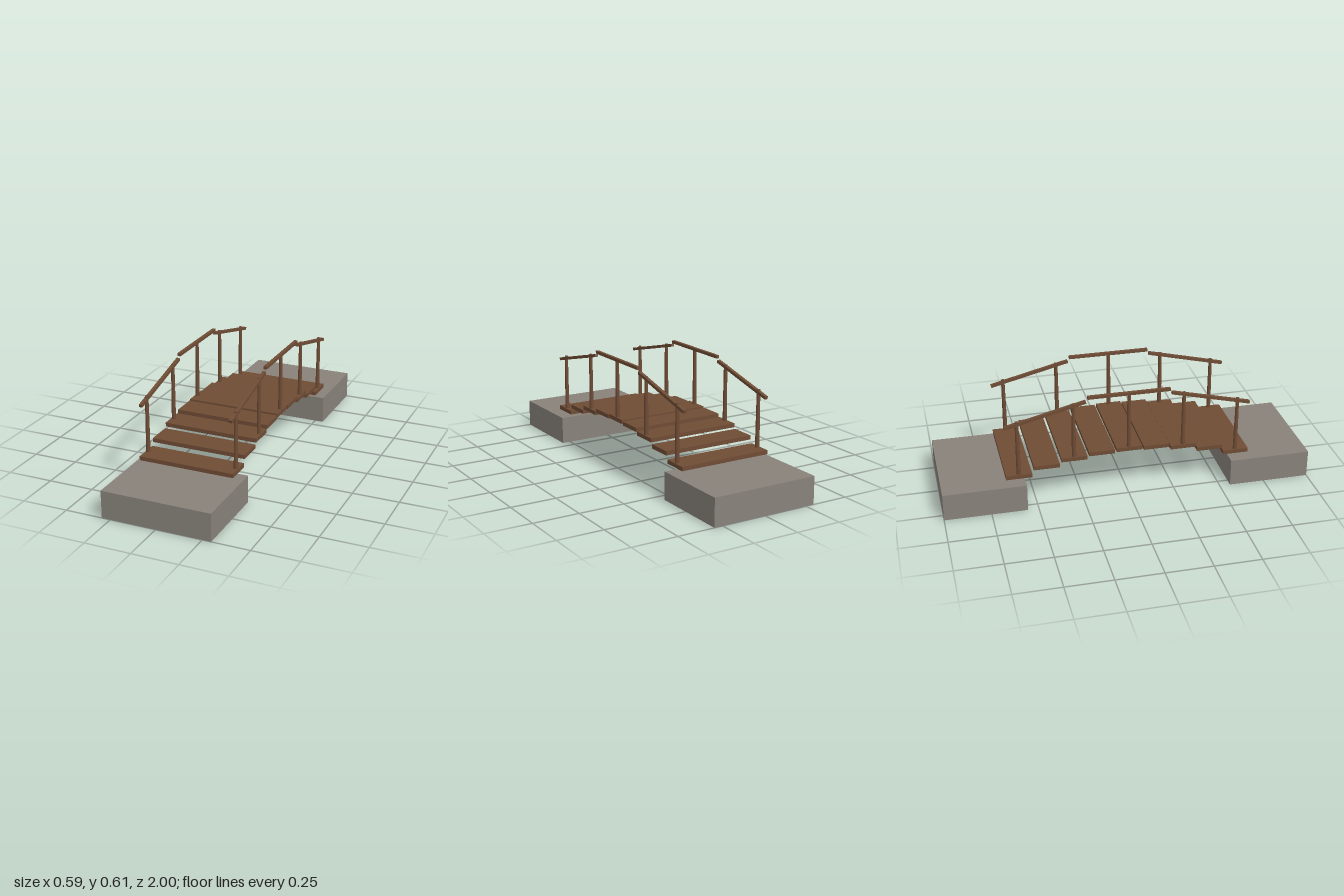
import * as THREE from 'three';

const wood = new THREE.MeshStandardMaterial({ color: 0x6f4c35 });
wood.name = 'brown wood';
const stone = new THREE.MeshStandardMaterial({ color: 0x88827a });
stone.name = 'grey stone';

const SPACING = 0.148;   // distance between plank centres
const RAIL_X = 0.246;    // sideways position of posts and rails

// Height of the arched deck at plank index i (0 is the middle)
const deckY = (i) => 0.278 - 0.00575 * i * i;

export function createModel() {
  const bridge = new THREE.Group();
  bridge.name = 'footbridge';

  const add = (name, geometry, material, x, y, z, tilt = 0) => {
    const mesh = new THREE.Mesh(geometry, material);
    mesh.name = name;
    mesh.position.set(x, y, z);
    mesh.rotation.x = tilt;
    bridge.add(mesh);
  };

  // Stone footings at both ends
  const footing = new THREE.BoxGeometry(0.594, 0.15, 0.442);
  for (const s of [-1, 1]) add('footing', footing, stone, 0, 0.075, s * 0.779);

  // Deck planks, stepping along the arch
  const plank = new THREE.BoxGeometry(0.52, 0.022, 0.139);
  for (let i = -4; i <= 4; i++) add('plank', plank, wood, 0, deckY(i), i * SPACING);

  // Railings on both sides
  const post = new THREE.CylinderGeometry(0.0095, 0.012, 0.32, 8);
  const rail = new THREE.BoxGeometry(0.018, 0.016, 0.442);
  for (const side of [-1, 1]) {
    const x = side * RAIL_X;
    for (let i = -4; i <= 4; i += 2) add('post', post, wood, x, deckY(i) + 0.16, i * SPACING);
    add('middleRail', rail, wood, x, 0.602, 0);
    for (const end of [-1, 1]) add('slopedRail', rail, wood, x, 0.528, end * 0.444, end * 0.24);
  }

  return bridge;
}
